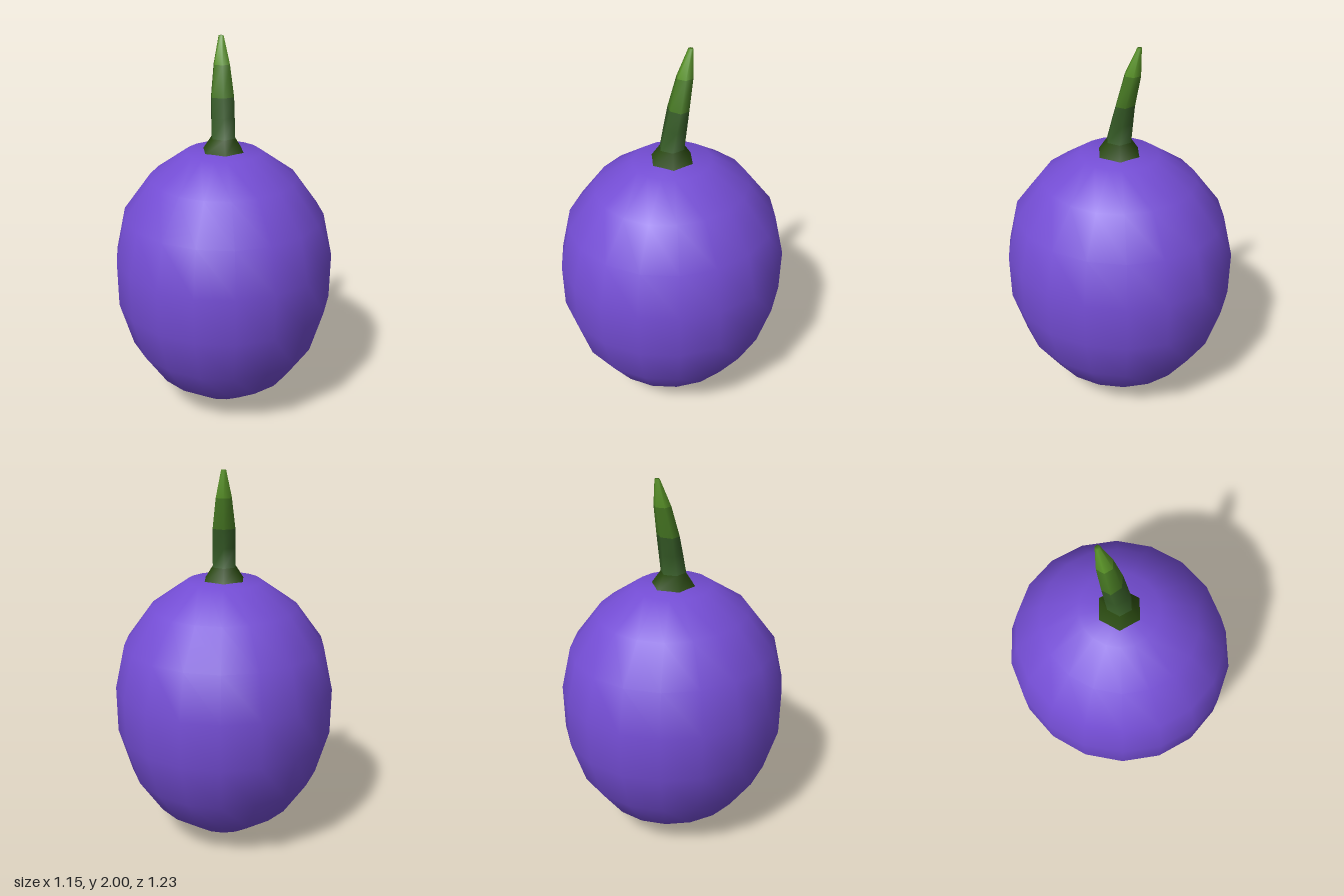
import * as THREE from 'three';

const mat = (name, color) => Object.assign(new THREE.MeshStandardMaterial({ color }), { name });

export function createModel() {
  const group = new THREE.Group();
  const purple = mat('purple skin', 0x744dd4);
  const greens = [
    mat('dark green', 0x2a4a10),
    mat('deep green', 0x355a26),
    mat('mid green', 0x467722),
    mat('light green', 0x5a9428),
  ];

  // fruit body: 18-sided smooth lathe, slightly narrower in x
  const profile = [
    [0, 0.005], [0.205, 0.045], [0.4, 0.18], [0.535, 0.37], [0.61, 0.61],
    [0.614, 0.855], [0.56, 1.09], [0.41, 1.285], [0.208, 1.42], [0, 1.43],
  ].map(([r, y]) => new THREE.Vector2(r, y));
  const bodyGeo = new THREE.LatheGeometry(profile, 18);
  bodyGeo.scale(0.95, 1, 1);
  const body = new THREE.Mesh(bodyGeo, purple);
  body.name = 'fruitBody';
  group.add(body);

  // stem: six-sided rings leaning backwards [y, z, rx, rz, band above]
  const rings = [
    [1.42, 0, 0.118, 0.12, 0],
    [1.495, 0, 0.067, 0.069, 1],
    [1.6, -0.019, 0.067, 0.06, 1],
    [1.7, -0.038, 0.066, 0.051, 2],
    [1.86, -0.076, 0.046, 0.044, 3],
    [2.0, -0.11, 0.014, 0.012, 3],
  ];
  const sides = 6;
  const pos = [], index = [];
  const stemGeo = new THREE.BufferGeometry();
  for (const [y, z, rx, rz] of rings) {
    for (let i = 0; i < sides; i++) {
      const a = (i / sides) * Math.PI * 2;
      pos.push(Math.sin(a) * rx, y, z + Math.cos(a) * rz);
    }
  }
  for (let k = 0; k < rings.length - 1; k++) {
    stemGeo.addGroup(index.length, sides * 6, rings[k][4]);
    for (let i = 0; i < sides; i++) {
      const a = k * sides + i, b = k * sides + ((i + 1) % sides);
      index.push(a, b, b + sides, a, b + sides, a + sides);
    }
  }
  // blunt tip cap
  const top = (rings.length - 1) * sides;
  stemGeo.addGroup(index.length, (sides - 2) * 3, 3);
  for (let i = 1; i < sides - 1; i++) index.push(top, top + i, top + i + 1);

  stemGeo.setAttribute('position', new THREE.Float32BufferAttribute(pos, 3));
  stemGeo.setIndex(index);
  stemGeo.computeVertexNormals();
  const stem = new THREE.Mesh(stemGeo, greens);
  stem.name = 'stem';
  group.add(stem);

  return group;
}
